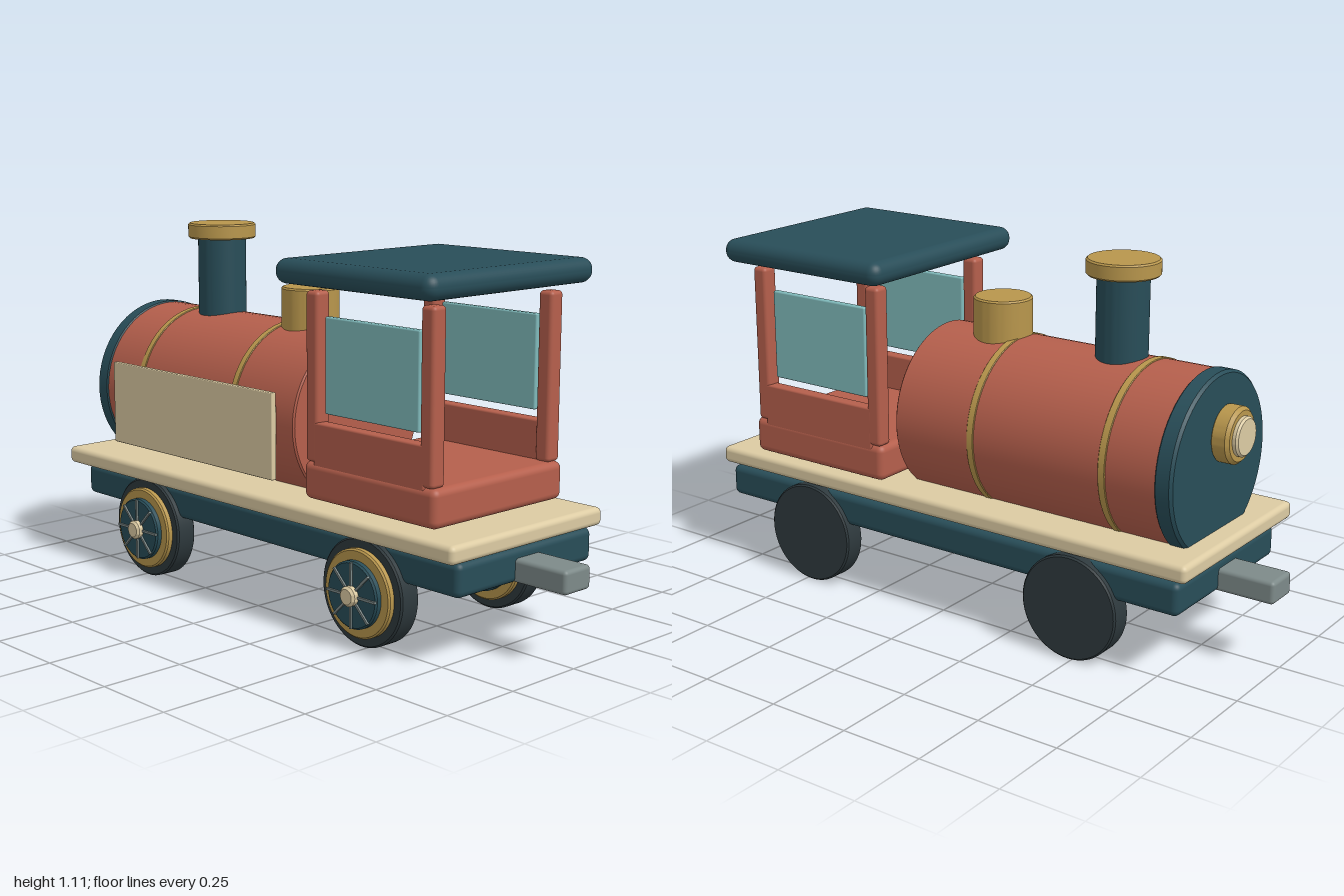
import * as THREE from 'three';
import { RoundedBoxGeometry } from 'three/addons/geometries/RoundedBoxGeometry.js';
import { toCreasedNormals } from 'three/addons/utils/BufferGeometryUtils.js';

const paint = (color) => new THREE.MeshStandardMaterial({ color });
const RED = paint(0xb55f4c), TEAL = paint(0x284d58), GOLD = paint(0xb8964c), CREAM = paint(0xdccba3);
const GREY = paint(0x7d8a89), GLASS = paint(0x80babb), TIRE = paint(0x2e393d);
const MID = -0.01; // z of the body's centre line

function add(parent, name, geometry, material) {
  const mesh = new THREE.Mesh(geometry, material);
  mesh.name = name;
  parent.add(mesh);
  return mesh;
}

// Rounded box given by its extents on each axis
function box(parent, name, material, [x0, x1], [y0, y1], [z0, z1], radius) {
  const geo = new RoundedBoxGeometry(x1 - x0, y1 - y0, z1 - z0, 4, radius);
  const mesh = add(parent, name, geo, material);
  mesh.position.set((x0 + x1) / 2, (y0 + y1) / 2, (z0 + z1) / 2);
  return mesh;
}

// Cylinder with bevelled rims, running from a to b along the given axis
function disc(parent, name, material, axis, radius, a, b, centre, bevel = 0.005) {
  const h = (b - a) / 2;
  const profile = [[0, -h], [radius - bevel, -h], [radius, -h + bevel], [radius, h - bevel], [radius - bevel, h], [0, h]];
  const lathe = new THREE.LatheGeometry(profile.map(([x, y]) => new THREE.Vector2(x, y)), 64);
  const mesh = add(parent, name, toCreasedNormals(lathe, 0.6), material);
  if (axis === 'x') mesh.rotation.z = -Math.PI / 2;
  if (axis === 'z') mesh.rotation.x = Math.PI / 2;
  mesh.position.set(...centre);
  mesh.position[axis] = (a + b) / 2;
  return mesh;
}

// Wheel with its decorated face towards +z; z = 0 is the back of the tire
function makeWheel() {
  const wheel = new THREE.Group();
  wheel.name = 'wheel';
  const c = [0, 0, 0];
  disc(wheel, 'tire', TIRE, 'z', 0.157, 0, 0.068, c);
  disc(wheel, 'wheelRim', GOLD, 'z', 0.128, 0.06, 0.087, c);
  disc(wheel, 'wheelDisc', TEAL, 'z', 0.097, 0.08, 0.106, c);
  for (let i = 0; i < 8; i++) {
    const a = (i * Math.PI) / 4;
    const spoke = add(wheel, 'spoke', new THREE.BoxGeometry(0.075, 0.007, 0.012), GREY);
    spoke.position.set(Math.cos(a) * 0.057, Math.sin(a) * 0.057, 0.106);
    spoke.rotation.z = a;
  }
  disc(wheel, 'hubCap', CREAM, 'z', 0.029, 0.1, 0.128, c, 0.007);
  return wheel;
}

function makeUndercarriage() {
  const g = new THREE.Group();
  g.name = 'undercarriage';
  box(g, 'chassis', TEAL, [-0.828, 0.826], [0.21, 0.308], [-0.29, 0.272], 0.02);
  box(g, 'deck', CREAM, [-0.855, 0.852], [0.317, 0.37], [-0.302, 0.327], 0.016);
  // Hidden support joining the deck to the chassis
  box(g, 'deckSupport', TEAL, [-0.6, 0.6], [0.29, 0.33], [-0.15, 0.13], 0.005);
  box(g, 'frontCoupling', GREY, [-1, -0.8], [0.212, 0.28], [-0.064, 0.044], 0.012);
  box(g, 'rearCoupling', GREY, [0.8, 1], [0.212, 0.28], [-0.064, 0.044], 0.012);
  for (const x of [-0.487, 0.482]) for (const z of [0.223, -0.309]) {
    const wheel = makeWheel();
    wheel.position.set(x, 0.159, z);
    g.add(wheel);
  }
  return g;
}

function makeBoiler() {
  const g = new THREE.Group();
  g.name = 'boiler';
  const c = [0, 0.57, MID];
  disc(g, 'boilerBarrel', RED, 'x', 0.26, -0.74, 0.16, c);
  disc(g, 'boilerFront', TEAL, 'x', 0.264, -0.788, -0.73, c, 0.008);
  for (const x of [-0.565, -0.117]) disc(g, 'boilerBand', GOLD, 'x', 0.263, x - 0.012, x + 0.012, c, 0.002);
  // Lamp on the nose
  const lamp = [0, 0.652, 0.017];
  disc(g, 'lampRing', GOLD, 'x', 0.083, -0.84, -0.78, lamp, 0.01);
  disc(g, 'lampLens', CREAM, 'x', 0.058, -0.856, -0.83, lamp, 0.006);
  // Chimney and steam dome
  disc(g, 'chimney', TEAL, 'y', 0.076, 0.75, 1.07, [-0.462, 0, MID]);
  disc(g, 'chimneyCap', GOLD, 'y', 0.107, 1.062, 1.11, [-0.462, 0, MID]);
  disc(g, 'steamDome', GOLD, 'y', 0.088, 0.75, 0.942, [-0.048, 0, MID]);
  // Plain side plate
  box(g, 'sidePlate', CREAM, [-0.677, 0.088], [0.406, 0.666], [0.252, 0.27], 0.003);
  return g;
}

function makeCab() {
  const g = new THREE.Group();
  g.name = 'cab';
  box(g, 'cabBase', RED, [0.21, 0.726], [0.375, 0.487], [-0.277, 0.26], 0.022);
  for (const side of [1, -1]) {
    const span = (near, far) => [MID + side * near, MID + side * far].sort((a, b) => a - b);
    for (const x of [0.241, 0.687]) {
      box(g, 'cabPost', RED, [x - 0.025, x + 0.025], [0.485, 0.975], span(0.214, 0.266), 0.012);
    }
    box(g, 'cabSidePanel', RED, [0.25, 0.68], [0.45, 0.602], span(0.225, 0.266), 0.006);
    box(g, 'cabWindow', GLASS, [0.28, 0.645], [0.628, 0.905], span(0.23, 0.25), 0.005);
  }
  box(g, 'cabRoof', TEAL, [0.158, 0.768], [0.995, 1.067], [-0.35, 0.332], 0.034);
  return g;
}

export function createModel() {
  const model = new THREE.Group();
  model.name = 'toySteamEngine';
  model.add(makeUndercarriage(), makeBoiler(), makeCab());
  return model;
}
